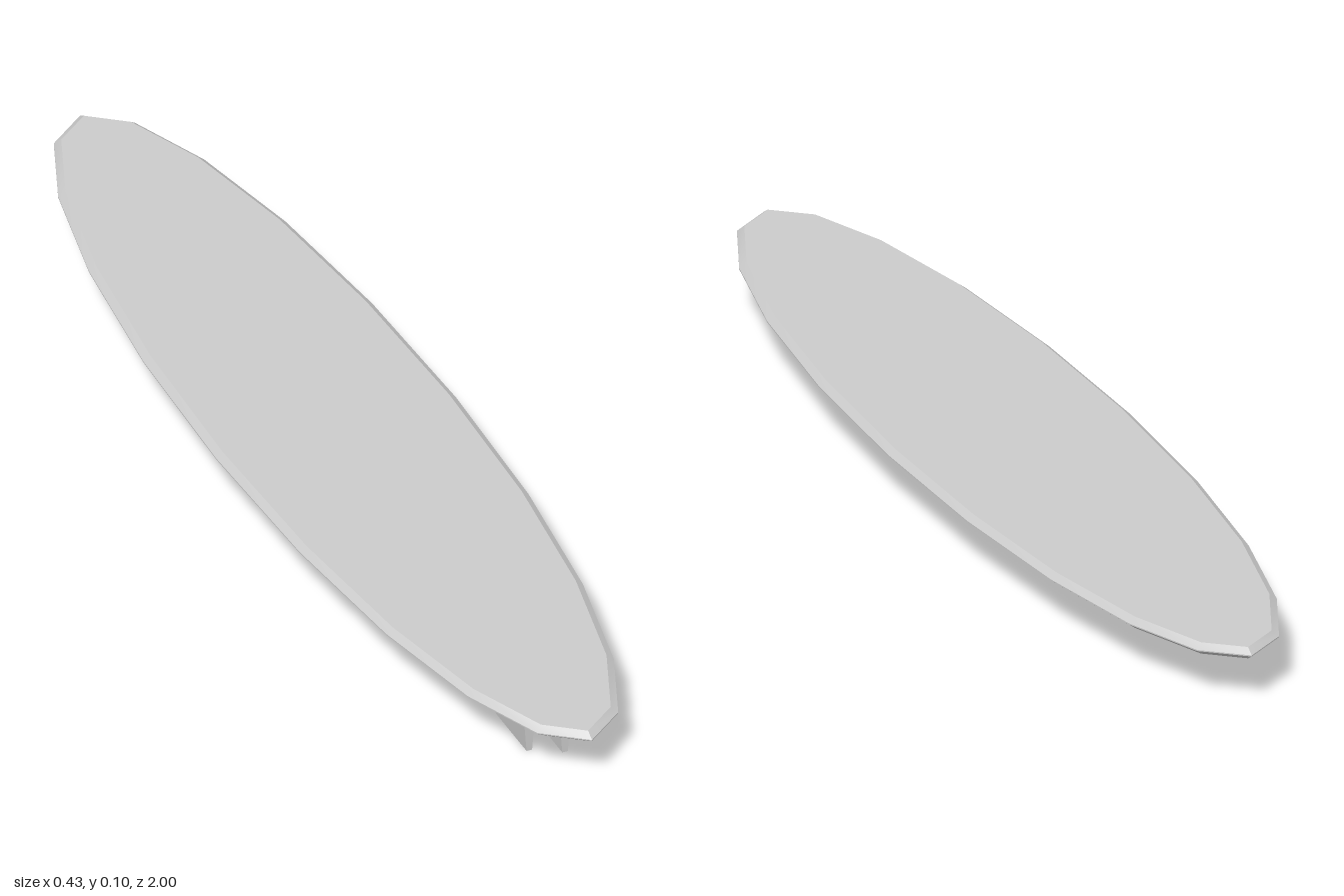
import * as THREE from 'three';
import { toCreasedNormals } from 'three/addons/utils/BufferGeometryUtils.js';

const BOTTOM = 0.076, TOP = 0.096;
const material = new THREE.MeshStandardMaterial({ color: 0xcccccc });

// Long 20-sided oval deck with a bevelled rim
function createBoard() {
  const points = [];
  for (let i = 0; i < 20; i++) {
    const a = (i / 20) * Math.PI * 2;
    points.push(new THREE.Vector2(0.202 * Math.cos(a), 0.985 * Math.sin(a)));
  }
  const bevel = 0.009;
  const geometry = new THREE.ExtrudeGeometry(new THREE.Shape(points), {
    depth: TOP - BOTTOM - 2 * bevel,
    bevelThickness: bevel, bevelSize: 0.012, bevelSegments: 1,
  });
  geometry.rotateX(Math.PI / 2).translate(0, TOP - bevel, 0);
  const board = new THREE.Mesh(toCreasedNormals(geometry, 0.5), material);
  board.name = 'board';
  return board;
}

// Upright fin, thinner towards its tip
function createFin(name, x, z) {
  const height = BOTTOM + 0.004;
  const geometry = new THREE.BoxGeometry(0.022, height, 0.12);
  geometry.translate(0, height / 2, 0);
  const p = geometry.attributes.position;
  for (let i = 0; i < p.count; i++) {
    if (p.getY(i) < 0.01) p.setX(i, p.getX(i) * 0.45);
  }
  geometry.computeVertexNormals();
  const fin = new THREE.Mesh(geometry, material);
  fin.name = name;
  fin.position.set(x, 0, z);
  return fin;
}

export function createModel() {
  const model = new THREE.Group();
  model.name = 'surfboard';
  model.add(createBoard());
  // Centre fin sits slightly further towards the tail tip
  model.add(createFin('centreFin', 0, 0.835));
  model.add(createFin('leftFin', 0.051, 0.807));
  model.add(createFin('rightFin', -0.051, 0.807));
  return model;
}
